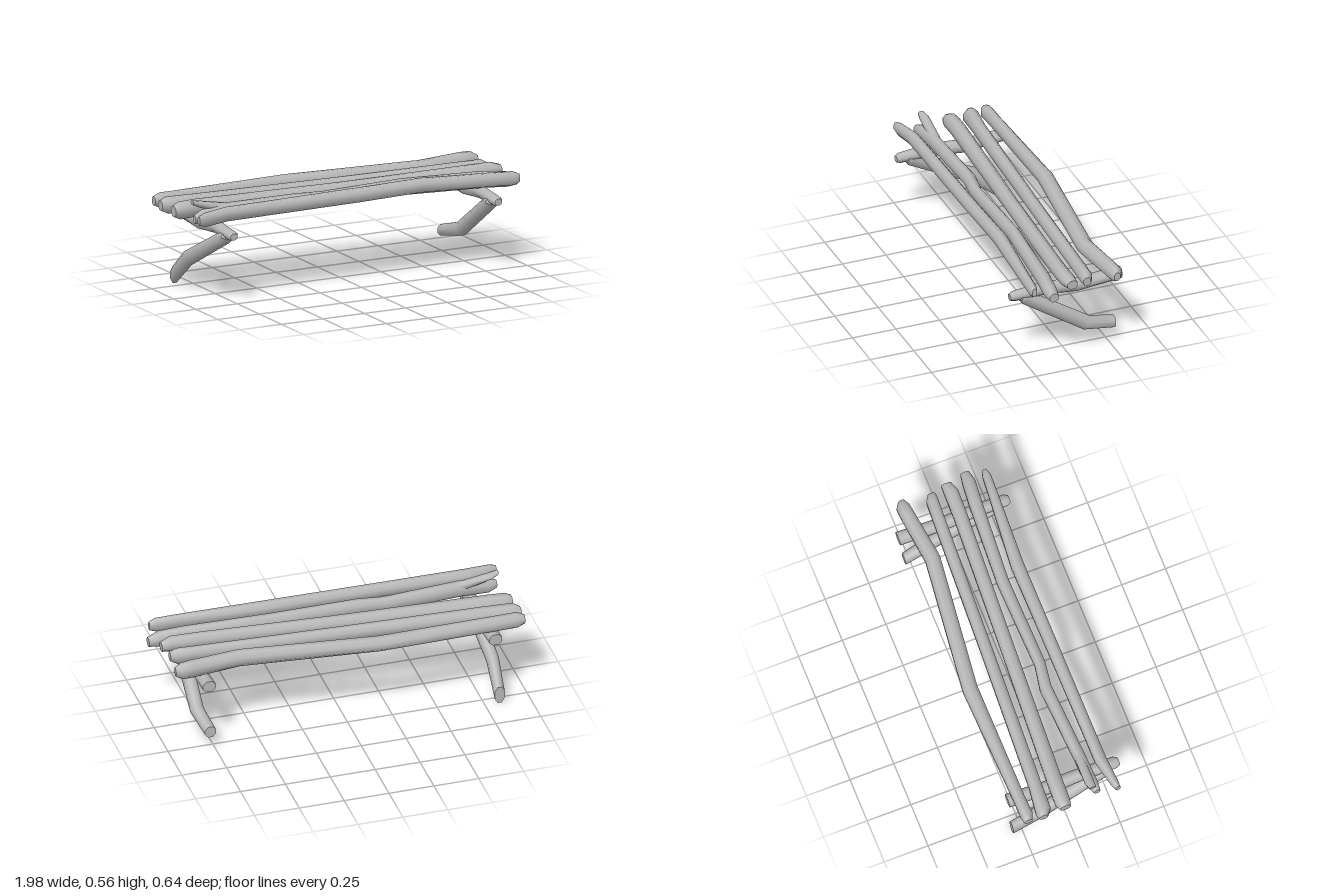
import * as THREE from 'three';
import { mergeGeometries } from 'three/addons/utils/BufferGeometryUtils.js';

const SIDES = 8;

// Log from cross-sections [x, y, z, rAcross, rUp, lean], listed along +axis.
// Lean tilts a section along the axis.
function logGeometry(axis, rows) {
  const dir = axis === 'x' ? new THREE.Vector3(1, 0, 0) : new THREE.Vector3(0, 0, 1);
  const side = axis === 'x' ? new THREE.Vector3(0, 0, -1) : new THREE.Vector3(1, 0, 0);
  const rings = rows.map(([x, y, z, ra, ru, lean = 0]) => {
    const ring = [];
    const up = new THREE.Vector3(0, 1, 0).addScaledVector(dir, lean);
    for (let j = 0; j < SIDES; j++) {
      const a = ((j + 0.5) / SIDES) * Math.PI * 2;
      ring.push(new THREE.Vector3(x, y, z)
        .addScaledVector(side, Math.cos(a) * ra * 1.04)
        .addScaledVector(up, Math.sin(a) * ru * 1.04));
    }
    return ring;
  });

  // smooth bark
  const bark = new THREE.BufferGeometry().setFromPoints(rings.flat());
  const index = [];
  for (let i = 0; i < rings.length - 1; i++) {
    for (let j = 0; j < SIDES; j++) {
      const k = (j + 1) % SIDES;
      const a = i * SIDES + j, b = i * SIDES + k;
      index.push(a, b, b + SIDES, a, b + SIDES, a + SIDES);
    }
  }
  bark.setIndex(index);
  bark.computeVertexNormals();

  // flat sawn ends
  const first = rings[0], last = rings[rings.length - 1], ends = [];
  for (let j = 1; j < SIDES - 1; j++) {
    ends.push(first[0], first[j + 1], first[j], last[0], last[j], last[j + 1]);
  }
  const caps = new THREE.BufferGeometry().setFromPoints(ends);
  caps.computeVertexNormals();
  return mergeGeometries([bark.toNonIndexed(), caps]);
}

export function createModel() {
  const model = new THREE.Group();
  model.name = 'logBench';
  const wood = new THREE.MeshStandardMaterial({ color: 0xb8b8b8 });
  wood.name = 'grey wood';

  const addLog = (name, axis, rows) => {
    const mesh = new THREE.Mesh(logGeometry(axis, rows), wood);
    mesh.name = name;
    model.add(mesh);
  };

  // seat logs, back to front
  addLog('seatLogBack', 'x', [
    [-0.98, 0.48, -0.265, 0.022, 0.025], [-0.94, 0.48, -0.262, 0.035, 0.042],
    [-0.83, 0.48, -0.265, 0.033, 0.042], [-0.17, 0.485, -0.282, 0.043, 0.04],
    [0.59, 0.485, -0.198, 0.043, 0.045], [0.86, 0.487, -0.232, 0.04, 0.048],
    [0.92, 0.487, -0.238, 0.038, 0.045], [0.955, 0.485, -0.235, 0.018, 0.025],
  ]);
  addLog('seatLogBackMiddle', 'x', [
    [-0.985, 0.475, -0.18, 0.025, 0.028], [-0.95, 0.475, -0.17, 0.044, 0.045],
    [-0.8, 0.478, -0.158, 0.037, 0.043], [0, 0.48, -0.12, 0.034, 0.04],
    [0.8, 0.483, -0.085, 0.034, 0.042], [0.9, 0.483, -0.08, 0.034, 0.043],
    [0.935, 0.48, -0.07, 0.022, 0.025],
  ]);
  addLog('seatLogMiddle', 'x', [
    [-0.975, 0.47, -0.05, 0.03, 0.03], [-0.94, 0.47, -0.055, 0.043, 0.046],
    [-0.84, 0.475, -0.053, 0.043, 0.046], [0, 0.48, -0.01, 0.039, 0.042],
    [0.75, 0.49, 0.027, 0.039, 0.044], [0.9, 0.495, 0.03, 0.04, 0.04],
    [0.955, 0.49, 0.022, 0.03, 0.026],
  ]);
  addLog('seatLogFrontMiddle', 'x', [
    [-0.95, 0.465, 0.14, 0.018, 0.022], [-0.9, 0.47, 0.13, 0.032, 0.04],
    [-0.75, 0.485, 0.12, 0.033, 0.045], [-0.31, 0.48, 0.095, 0.034, 0.042],
    [-0.17, 0.48, 0.117, 0.031, 0.042], [0.33, 0.485, 0.102, 0.034, 0.045],
    [0.8, 0.475, 0.13, 0.037, 0.045], [0.93, 0.465, 0.142, 0.037, 0.042],
    [0.99, 0.455, 0.142, 0.026, 0.026],
  ]);
  addLog('branchStub', 'x', [
    [-0.95, 0.553, 0.115, 0.018, 0.012], [-0.91, 0.54, 0.11, 0.026, 0.018],
    [-0.72, 0.495, 0.115, 0.025, 0.03],
  ]);
  addLog('seatLogFront', 'x', [
    [-0.98, 0.485, 0.247, 0.014, 0.025], [-0.94, 0.485, 0.24, 0.022, 0.038],
    [-0.8, 0.495, 0.217, 0.033, 0.038], [0, 0.503, 0.21, 0.035, 0.039],
    [0.38, 0.51, 0.205, 0.037, 0.038], [0.8, 0.497, 0.233, 0.027, 0.038],
    [0.92, 0.492, 0.24, 0.024, 0.038], [0.955, 0.49, 0.24, 0.014, 0.024],
  ]);

  // cross beams under the seat
  for (const [name, x] of [['rightBeam', -0.805], ['leftBeam', 0.79]]) {
    addLog(name, 'z', [
      [x, 0.411, -0.318, 0.037, 0.033], [x, 0.389, -0.067, 0.036, 0.035],
      [x, 0.406, 0.11, 0.034, 0.034], [x, 0.395, 0.295, 0.032, 0.026],
      [x, 0.392, 0.318, 0.022, 0.018],
    ]);
  }

  // legs sloping back from the front of the beams
  addLog('leftLeg', 'z', [
    [0.775, 0.107, -0.29, 0.031, 0.033], [0.798, 0.148, -0.12, 0.036, 0.034, -0.62],
    [0.787, 0.373, 0.228, 0.04, 0.029, -0.8], [0.787, 0.386, 0.26, 0.045, 0.015, -0.6],
  ]);
  addLog('rightLeg', 'z', [
    [-0.832, 0.052, -0.304, 0.029, 0.05], [-0.843, 0.178, -0.137, 0.033, 0.037, -0.5],
    [-0.812, 0.373, 0.228, 0.04, 0.029, -0.8], [-0.808, 0.386, 0.26, 0.045, 0.015, -0.6],
  ]);

  // centre and rest on the ground
  const box = new THREE.Box3().setFromObject(model);
  model.position.y = -box.min.y;
  return model;
}
